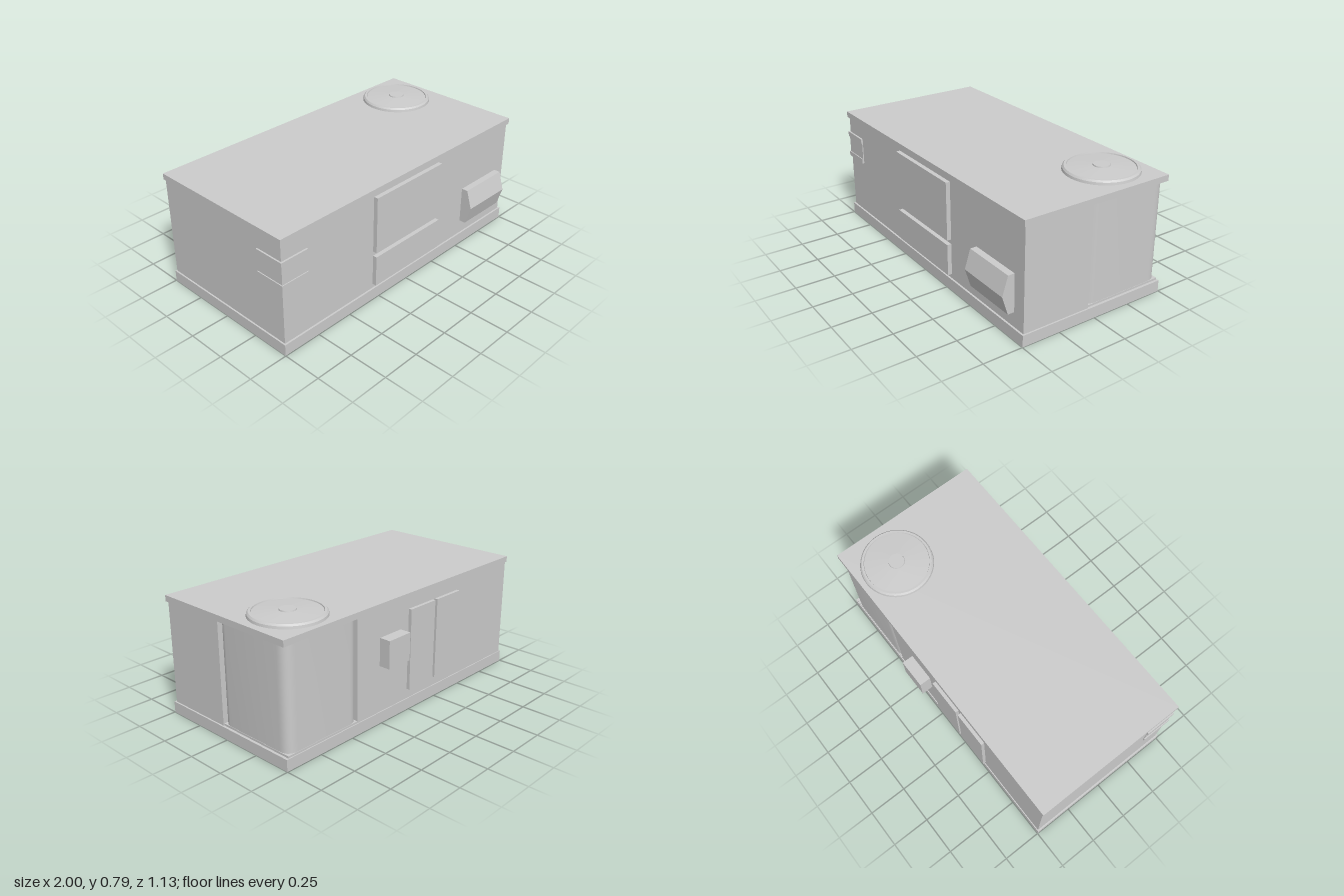
import * as THREE from 'three';
import { toCreasedNormals } from 'three/addons/utils/BufferGeometryUtils.js';

const material = new THREE.MeshStandardMaterial({ color: 0xcccccc, side: THREE.DoubleSide });

export function createModel() {
  const model = new THREE.Group();

  const add = (name, geometry) => {
    const mesh = new THREE.Mesh(geometry, material);
    mesh.name = name;
    model.add(mesh);
    return mesh;
  };

  // Box given by its limits on each axis
  const block = (name, x0, x1, y0, y1, z0, z1) =>
    add(name, new THREE.BoxGeometry(x1 - x0, y1 - y0, z1 - z0))
      .position.set((x0 + x1) / 2, (y0 + y1) / 2, (z0 + z1) / 2);

  // Floor plan in x and -z, raised from y0 to y1
  const raise = (name, plan, y0, y1) => {
    const g = new THREE.ExtrudeGeometry(plan, { depth: y1 - y0, bevelEnabled: false, curveSegments: 10 });
    g.rotateX(-Math.PI / 2).translate(0, y0, 0);
    add(name, toCreasedNormals(g, 0.6));
  };
  const polygon = (points, Type = THREE.Shape) => new Type(points.map(([x, z]) => new THREE.Vector2(x, -z)));
  const rectangle = (x, z, Type) => polygon([[-x, z], [x, z], [x, -z], [-x, -z]], Type);

  // Open plinth frame
  const plinth = rectangle(1, 0.498);
  plinth.holes.push(rectangle(0.975, 0.473, THREE.Path));
  raise('plinth', plinth, 0, 0.072);

  // Hollow walls with a rounded back corner set between two grooves
  const walls = new THREE.Shape();
  walls.moveTo(-0.99, -0.486);
  walls.lineTo(0.99, -0.486);
  walls.lineTo(0.99, -0.04);
  walls.lineTo(0.945, -0.04);
  walls.quadraticCurveTo(0.98, -0.03, 0.982, 0.02);
  walls.lineTo(0.982, 0.42);
  walls.quadraticCurveTo(0.982, 0.49, 0.912, 0.49);
  walls.lineTo(0.51, 0.49);
  walls.quadraticCurveTo(0.46, 0.488, 0.45, 0.453);
  walls.lineTo(0.45, 0.492);
  walls.lineTo(-0.99, 0.492);
  walls.closePath();
  walls.holes.push(polygon([
    [-0.978, 0.474], [0.978, 0.474], [0.978, 0.052], [0.933, 0.052], [0.933, 0.03], [0.968, -0.02],
    [0.968, -0.42], [0.95, -0.46], [0.91, -0.476], [0.51, -0.476], [0.475, -0.441], [0.438, -0.441],
    [0.438, -0.48], [-0.978, -0.48],
  ], THREE.Path));
  raise('walls', walls, 0.072, 0.712);

  // Sill below the rounded corner
  block('cornerSillSide', 0.93, 0.984, 0.072, 0.085, -0.492, 0.04);
  block('cornerSillBack', 0.45, 0.93, 0.072, 0.085, -0.492, -0.45);

  block('roof', -1, 1, 0.712, 0.75, -0.498, 0.498);

  // Round roof hatch with a raised rim and hub
  const hatch = new THREE.LatheGeometry([
    [0.225, 0.75], [0.222, 0.765], [0.213, 0.775], [0.2, 0.775], [0.198, 0.768],
    [0.12, 0.774], [0.05, 0.778], [0.048, 0.785], [0, 0.785],
  ].map(([r, y]) => new THREE.Vector2(r, y)), 48);
  add('roofHatch', toCreasedNormals(hatch, 0.5)).position.set(0.73, 0, -0.24);

  // Front panels
  block('upperFrontPanel', -0.29, 0.285, 0.33, 0.695, 0.48, 0.513);
  block('lowerFrontPanel', -0.29, 0.285, 0.1, 0.3, 0.48, 0.513);

  // Wedge-shaped hood, profile in z and y
  const hood = new THREE.ExtrudeGeometry(new THREE.Shape([
    [0.48, 0.165], [0.528, 0.165], [0.565, 0.283], [0.528, 0.402], [0.48, 0.402],
  ].map(([z, y]) => new THREE.Vector2(-z, y))), { depth: 0.355, bevelEnabled: false });
  hood.rotateY(Math.PI / 2).translate(0.55, 0, 0);
  add('frontHood', hood);

  // Bracket wrapping the front corner: a plate between two rails
  for (const [name, y0, y1, out] of [
    ['bracketPlate', 0.465, 0.575, 0.004],
    ['bracketLowerRail', 0.435, 0.465, 0.01],
    ['bracketUpperRail', 0.575, 0.608, 0.01],
  ]) {
    block(name + 'Front', -0.99 - out, -0.81, y0, y1, 0.48, 0.488 + out);
    block(name + 'Side', -0.99 - out, -0.98, y0, y1, 0.3, 0.48);
  }

  // Back doors and box
  for (const x of [-0.46, -0.215]) block('backDoor', x, x + 0.225, 0.135, 0.65, -0.513, -0.485);
  block('backBox', 0.08, 0.262, 0.368, 0.542, -0.564, -0.485);

  return model;
}
